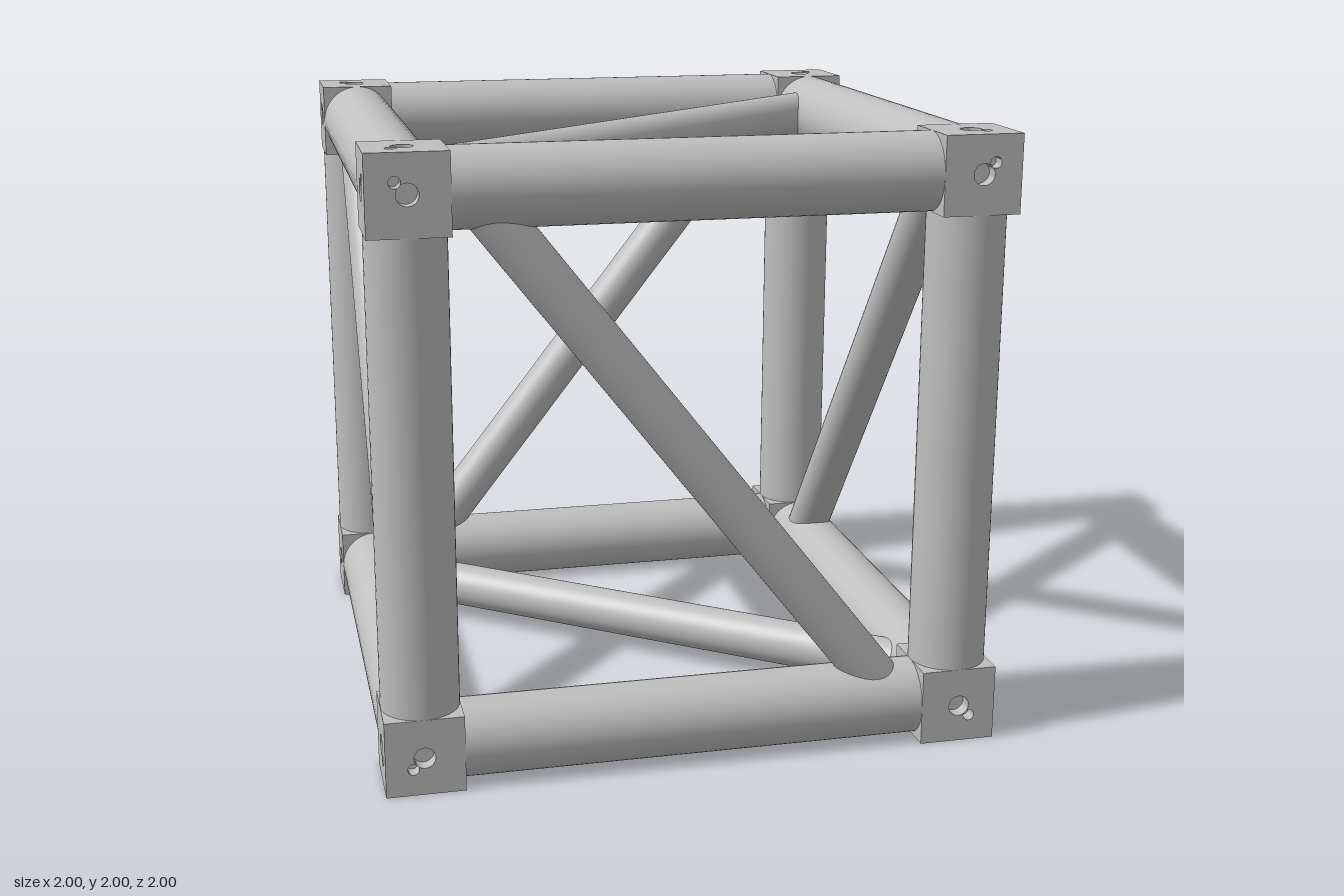
import * as THREE from 'three';
import { mergeGeometries, toCreasedNormals } from 'three/addons/utils/BufferGeometryUtils.js';

const C = 0.875;      // distance of every rail axis from the cube centre
const RAIL_R = 0.125;
const BRACE_R = 0.079;
const HOLE_DEPTH = 0.045;
const axes = [0, 1, 2].map((i) => new THREE.Vector3().setComponent(i, 1));

// Round bar between two points
function bar(a, b, radius, material, name) {
  const from = new THREE.Vector3(...a), to = new THREE.Vector3(...b);
  const dir = to.clone().sub(from);
  const mesh = new THREE.Mesh(new THREE.CylinderGeometry(radius, radius, dir.length(), 48), material);
  mesh.position.copy(from).add(to).multiplyScalar(0.5);
  mesh.quaternion.setFromUnitVectors(axes[1], dir.normalize());
  mesh.name = name;
  return mesh;
}

// Blind hole: inward wall and floor, opening toward +z
function holeCup(x, y, r) {
  const profile = [[r, 0], [r, -HOLE_DEPTH], [0, -HOLE_DEPTH]].map((p) => new THREE.Vector2(...p));
  const cup = toCreasedNormals(new THREE.LatheGeometry(profile, 32), 0.6);
  return cup.rotateX(Math.PI / 2).translate(x, y, 0);
}

// Square block face in the xy plane, optionally with its two bolt holes
function blockFace(drilled, du, dv) {
  const h = RAIL_R;
  const shape = new THREE.Shape([[-h, -h], [h, -h], [h, h], [-h, h]].map((p) => new THREE.Vector2(...p)));
  const parts = [];
  if (drilled) {
    for (const [offset, r] of [[0.002, 0.034], [0.038, 0.018]]) {
      const x = du * offset, y = dv * offset;
      shape.holes.push(new THREE.Path().absarc(x, y, r, 0, Math.PI * 2, true));
      parts.push(holeCup(x, y, r));
    }
  }
  parts.push(new THREE.ShapeGeometry(shape, 32).toNonIndexed());
  return mergeGeometries(parts.map((g) => g.index ? g.toNonIndexed() : g));
}

// Corner block whose three outward faces are drilled
function cornerBlock(signs, material) {
  const faces = [];
  for (let a = 0; a < 3; a++) {
    const b = (a + 1) % 3, c = (a + 2) % 3;
    for (const s of [-1, 1]) {
      const normal = axes[a].clone().multiplyScalar(s);
      const v = axes[c].clone().multiplyScalar(s);
      const face = blockFace(s === signs[a], signs[b], signs[c] * s);
      const m = new THREE.Matrix4().makeBasis(axes[b], v, normal);
      m.setPosition(normal.clone().multiplyScalar(RAIL_R));
      faces.push(face.applyMatrix4(m));
    }
  }
  const mesh = new THREE.Mesh(mergeGeometries(faces), material);
  mesh.position.set(...signs).multiplyScalar(C);
  mesh.name = 'cornerBlock';
  return mesh;
}

export function createModel() {
  const metal = new THREE.MeshStandardMaterial({ color: 0xbfbfbf });
  metal.name = 'light grey metal';

  const model = new THREE.Group();
  model.name = 'boxTruss';
  const frame = new THREE.Group();
  frame.name = 'frame';
  frame.position.y = 1;
  model.add(frame);

  // Eight corner blocks
  for (const x of [-1, 1]) for (const y of [-1, 1]) for (const z of [-1, 1]) {
    frame.add(cornerBlock([x, y, z], metal));
  }

  // Twelve rails, four along each axis
  for (let a = 0; a < 3; a++) for (const p of [-C, C]) for (const q of [-C, C]) {
    const from = [0, 0, 0];
    from[(a + 1) % 3] = p;
    from[(a + 2) % 3] = q;
    const to = [...from];
    from[a] = -0.755;
    to[a] = 0.755;
    frame.add(bar(from, to, RAIL_R, metal, 'rail'));
  }

  // One diagonal brace per side, crossing its opposite
  const e = 0.683;
  for (const s of [-1, 1]) {
    frame.add(bar([-s * e, C, s * C], [s * e, -C, s * C], BRACE_R, metal, s > 0 ? 'frontBrace' : 'backBrace'));
    frame.add(bar([s * C, C, s * e], [s * C, -C, -s * e], BRACE_R, metal, s > 0 ? 'leftBrace' : 'rightBrace'));
    frame.add(bar([-C, s * C, s * e], [C, s * C, -s * e], BRACE_R, metal, s > 0 ? 'topBrace' : 'bottomBrace'));
  }
  return model;
}
